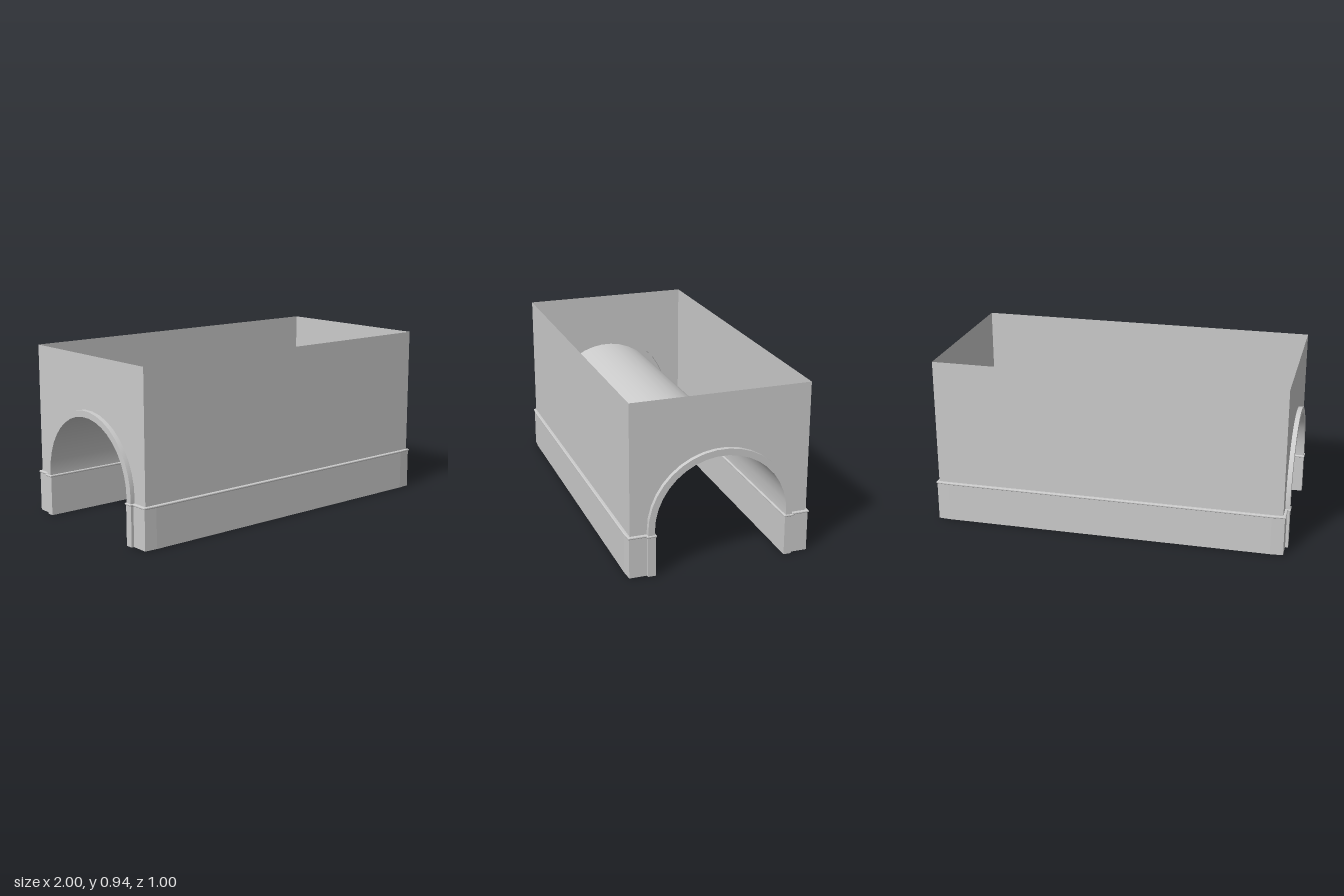
import * as THREE from 'three';

const material = new THREE.MeshStandardMaterial({ color: 0xcccccc, side: THREE.DoubleSide });
const WALL_X = 0.97, WALL_Z = 0.485, TOP = 0.937, SPRING = 0.222; // shell
const ARCH_Y = 0.25, R_IN = 0.36, R_OUT = 0.395, RING_X = 0.995; // arch

function add(parent, name, geometry) {
  const mesh = new THREE.Mesh(geometry, material);
  mesh.name = name;
  parent.add(mesh);
  return mesh;
}

// Stilted semicircle from one springing to the other, as (z, y) points
function archPoints(r, segments = 19) {
  const pts = [new THREE.Vector2(r, SPRING)];
  for (let i = 0; i <= segments; i++) {
    const a = (Math.PI * i) / segments;
    pts.push(new THREE.Vector2(r * Math.cos(a), ARCH_Y + r * Math.sin(a)));
  }
  pts.push(new THREE.Vector2(-r, SPRING));
  return pts;
}

// Smooth sheet that sweeps an arch along x; its front faces the tunnel unless x0 > x1
function archSheet(r, x0, x1) {
  const pts = archPoints(r), pos = [], idx = [];
  pts.forEach((p) => pos.push(x0, p.y, p.x, x1, p.y, p.x));
  for (let i = 0; i < pts.length - 1; i++) {
    const a = i * 2;
    idx.push(a, a + 2, a + 1, a + 1, a + 2, a + 3);
  }
  const g = new THREE.BufferGeometry();
  g.setAttribute('position', new THREE.Float32BufferAttribute(pos, 3));
  g.setIndex(idx);
  g.computeVertexNormals();
  return g;
}

// Pier plan in (x, z): the inner strip projects at both ends, the outer corners are eased
function pierPlan() {
  const half = [[0.995, 0.355], [0.995, 0.397], [0.98, 0.397], [0.98, 0.492], [0.91, 0.497]];
  const mirrored = half.map(([x, z]) => [-x, z]).reverse();
  return new THREE.Shape([...half, ...mirrored].map(([x, z]) => new THREE.Vector2(x, -z)));
}

export function createModel() {
  const model = new THREE.Group();
  model.name = 'archedTunnel';

  // Long side walls, open at the top
  for (const s of [1, -1]) {
    const wall = add(model, s > 0 ? 'frontWall' : 'backWall',
      new THREE.PlaneGeometry(WALL_X * 2, TOP - SPRING));
    wall.position.set(0, (TOP + SPRING) / 2, s * WALL_Z);
    if (s < 0) wall.rotation.y = Math.PI;
  }

  // End walls cut by the arch, each with a projecting arch ring
  const endShape = new THREE.Shape([
    new THREE.Vector2(-WALL_Z, SPRING),
    ...archPoints(R_OUT).reverse(),
    new THREE.Vector2(WALL_Z, SPRING),
    new THREE.Vector2(WALL_Z, TOP),
    new THREE.Vector2(-WALL_Z, TOP),
  ]);
  const ringShape = new THREE.Shape([...archPoints(R_OUT), ...archPoints(R_IN).reverse()]);
  for (const s of [1, -1]) {
    const end = new THREE.Group();
    end.name = s > 0 ? 'leftEnd' : 'rightEnd';
    add(end, 'endWall', new THREE.ShapeGeometry(endShape).rotateY(Math.PI / 2).translate(WALL_X, 0, 0));
    add(end, 'archRingFace', new THREE.ShapeGeometry(ringShape).rotateY(Math.PI / 2).translate(RING_X, 0, 0));
    add(end, 'archRingEdge', archSheet(R_OUT, RING_X, WALL_X));
    if (s < 0) end.rotation.y = Math.PI;
    model.add(end);
  }

  // Barrel vault
  add(model, 'vault', archSheet(R_IN, -RING_X, RING_X));

  // Piers with a thin rounded moulding on top
  for (const s of [1, -1]) {
    const pier = new THREE.Group();
    pier.name = s > 0 ? 'frontPier' : 'backPier';
    const body = new THREE.ExtrudeGeometry(pierPlan(), { depth: SPRING, bevelEnabled: false });
    add(pier, 'pierBody', body.rotateX(-Math.PI / 2));
    const cap = new THREE.ExtrudeGeometry(pierPlan(), {
      depth: 0.002, bevelThickness: 0.005, bevelSize: 0.005, bevelSegments: 3,
    });
    add(pier, 'pierMoulding', cap.rotateX(-Math.PI / 2).translate(0, SPRING - 0.001, 0));
    if (s < 0) pier.rotation.y = Math.PI;
    model.add(pier);
  }
  return model;
}
